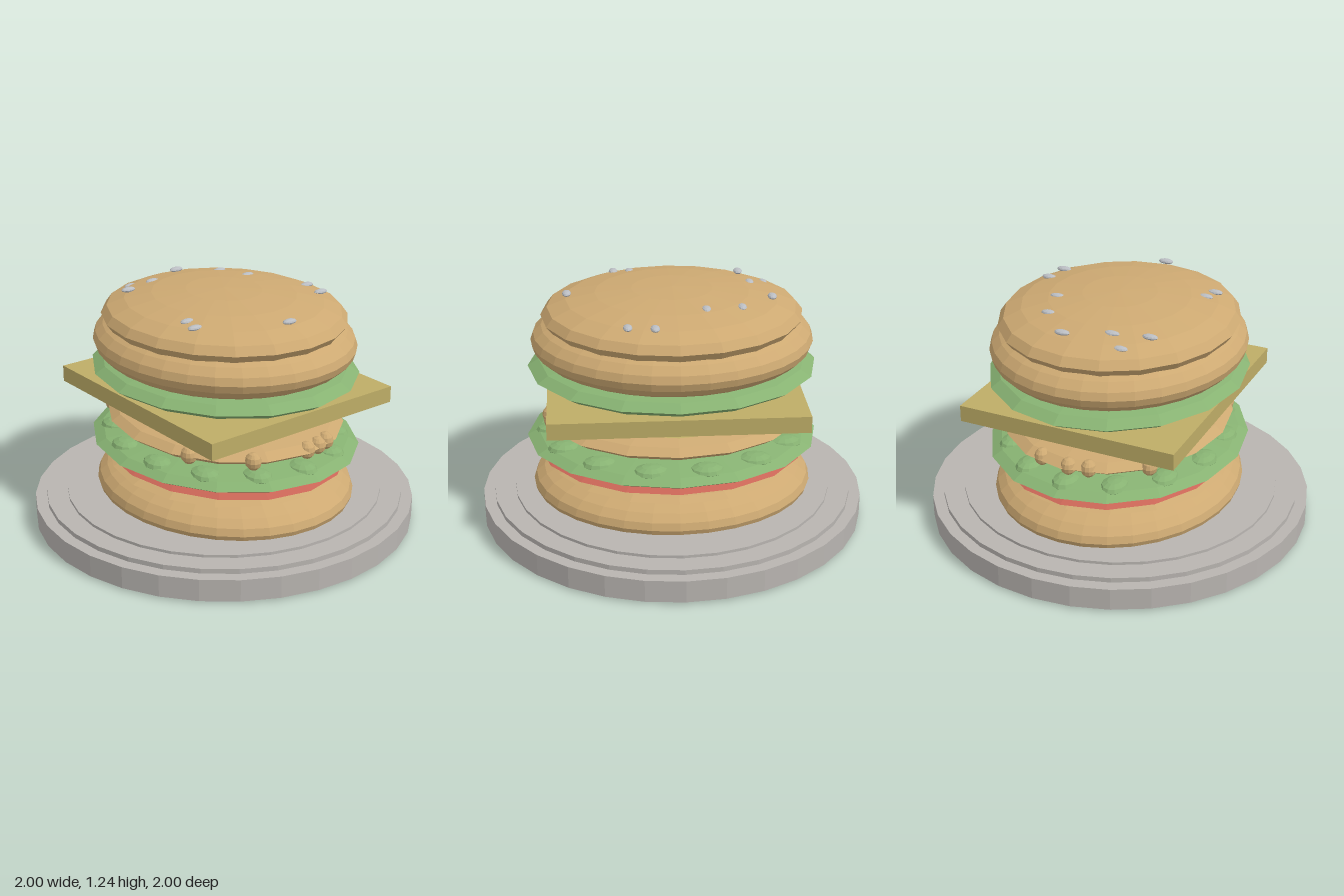
import * as THREE from 'three';

function mat(name, color) {
  const m = new THREE.MeshStandardMaterial({ color, flatShading: true });
  m.name = name;
  return m;
}

export function createModel() {
  const model = new THREE.Group();
  const bread = mat('bread', 0xcda972);
  const plateGrey = mat('plateGrey', 0xb8b4b0);
  const cheeseYellow = mat('cheeseYellow', 0xbdac66);
  const lettuceGreen = mat('lettuceGreen', 0x87b272);
  const tomatoRed = mat('tomatoRed', 0xc96556);
  const seedGrey = mat('seedGrey', 0xbabdc2);

  const add = (name, geometry, material, x, y, z, parent = model) => {
    const mesh = new THREE.Mesh(geometry, material);
    mesh.name = name;
    mesh.position.set(x, y, z);
    parent.add(mesh);
    return mesh;
  };
  // Flattened sphere: radii rx, ry, rz around a centre
  const oval = (name, material, [x, y, z], [rx, ry, rz], sides = 16, parent = model) =>
    add(name, new THREE.SphereGeometry(1, sides, sides / 2).scale(rx, ry, rz), material, x, y, z, parent);
  const group = (name) => {
    const g = new THREE.Group();
    g.name = name;
    model.add(g);
    return g;
  };

  // Stepped plate
  const plate = group('plate');
  [['plateRim', 1, 0.01, 0.125], ['plateStep', 0.94, 0.12, 0.15], ['plateCentre', 0.83, 0.145, 0.165]]
    .forEach(([name, r, y0, y1]) =>
      add(name, new THREE.CylinderGeometry(r, r, y1 - y0, 32), plateGrey, 0, (y0 + y1) / 2, 0, plate));

  // Round layers from bottom to top: name, material, height, radii, sides
  [
    ['bottomBun', bread, 0.19, [0.73, 0.188, 0.64], 32],
    ['lowerSlice', bread, 0.31, [0.64, 0.05, 0.585], 16],
    ['tomato', tomatoRed, 0.365, [0.69, 0.055, 0.59], 16],
    ['lowerLettuce', lettuceGreen, 0.44, [0.755, 0.075, 0.66], 16],
    ['patty', bread, 0.56, [0.675, 0.085, 0.575], 16],
    ['sauce', cheeseYellow, 0.645, [0.59, 0.045, 0.53], 16],
    ['upperLettuce', lettuceGreen, 0.83, [0.74, 0.09, 0.655], 16],
    ['topBun', bread, 0.975, [0.72, 0.2, 0.645], 32],
    ['bunCrown', bread, 1.105, [0.665, 0.135, 0.605], 20],
  ].forEach(([name, material, y, radii, sides]) => oval(name, material, [0, y, 0], radii, sides));

  // Square cheese slab
  add('cheese', new THREE.BoxGeometry(1.28, 0.085, 1.15), cheeseYellow, 0, 0.7175, 0);

  // Curly bumps around the lower lettuce
  const curls = group('lettuceCurls');
  for (let i = 0; i < 14; i++) {
    const a = (i / 14) * Math.PI * 2;
    oval('curl', lettuceGreen, [0.62 * Math.cos(a), 0.465, 0.54 * Math.sin(a)], [0.09, 0.035, 0.07], 12, curls);
  }

  // Crumbs on the patty's edge
  const crumbs = group('pattyCrumbs');
  [[0.57, 0.27], [0.63, -0.02], [0.62, -0.1], [0.6, -0.17], [0.32, 0.47],
    [-0.63, 0.02], [-0.61, 0.12], [-0.6, -0.14], [-0.47, 0.38]]
    .forEach(([x, z]) => oval('crumb', bread, [x, 0.56, z], [0.045, 0.045, 0.04], 12, crumbs));

  // Sesame seeds
  const seeds = group('seeds');
  [[0.11, 1.19, -0.46], [0.24, 1.19, -0.44], [-0.33, 1.205, -0.23], [-0.15, 1.215, -0.275],
    [-0.42, 1.185, -0.13], [-0.5, 1.2, -0.07], [-0.41, 1.2, 0.15], [-0.49, 1.17, 0.23],
    [-0.37, 1.2, 0.33], [0.2, 1.195, 0.38], [0.285, 1.19, 0.4], [0.53, 1.207, 0.02]]
    .forEach((p) => oval('seed', seedGrey, p, [0.023, 0.013, 0.04], 12, seeds));

  return model;
}
